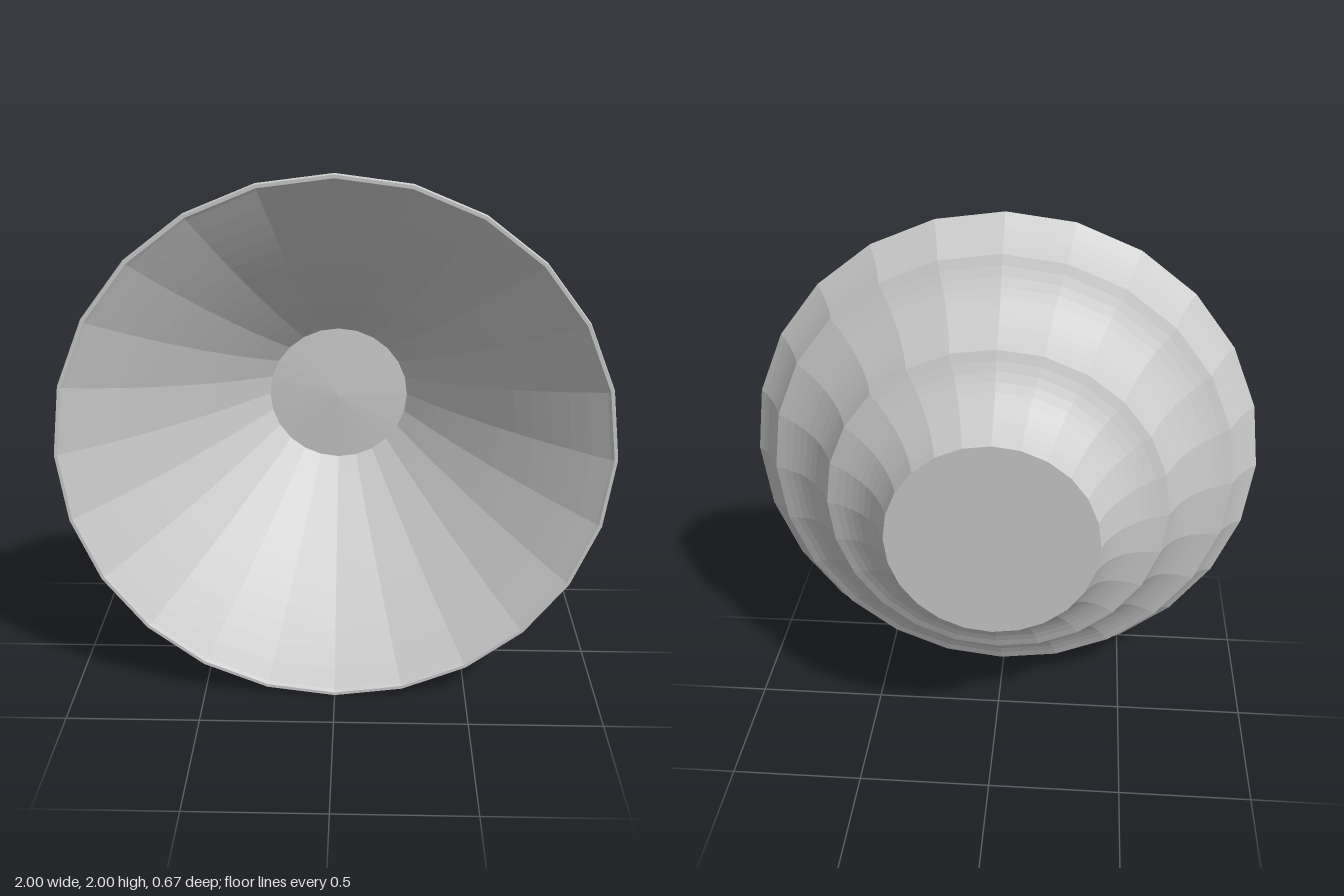
import * as THREE from 'three';

const SIDES = 24;

// Points along a quadratic curve given as [radius, z] start, control and end
function arc(a, c, b, steps) {
  return new THREE.QuadraticBezierCurve(
    new THREE.Vector2(...a), new THREE.Vector2(...c), new THREE.Vector2(...b)
  ).getPoints(steps);
}

const line = (...pts) => pts.map((p) => new THREE.Vector2(...p));

export function createModel() {
  const group = new THREE.Group();
  const material = new THREE.MeshStandardMaterial({ color: 0xcccccc, flatShading: true });

  // Turned part around the z axis, centred at height 1
  function turned(name, profile) {
    const geometry = new THREE.LatheGeometry(profile, SIDES);
    geometry.rotateX(Math.PI / 2);
    const mesh = new THREE.Mesh(geometry, material);
    mesh.name = name;
    mesh.position.y = 1;
    group.add(mesh);
  }

  // Flat back
  turned('backPlate', line([0, -0.333], [0.39, -0.333]));

  // Three scalloped steps widening to the front
  turned('rearStep', arc([0.39, -0.333], [0.455, -0.15], [0.64, -0.09], 10));
  turned('middleStep', arc([0.64, -0.09], [0.705, 0.095], [0.895, 0.165], 10));
  turned('frontStep', arc([0.895, 0.165], [0.93, 0.26], [1, 0.32], 6));

  // Thin bevelled lip
  turned('rim', line([1, 0.32], [0.997, 0.333], [0.985, 0.333], [0.975, 0.325]));

  // Gently flared inside
  turned('bowl', arc([0.975, 0.325], [0.6, 0.075], [0.275, -0.31], 12));

  // Shallow cone closing the bottom of the bowl
  turned('centreDisc', line([0.275, -0.31], [0, -0.29]));

  return group;
}
